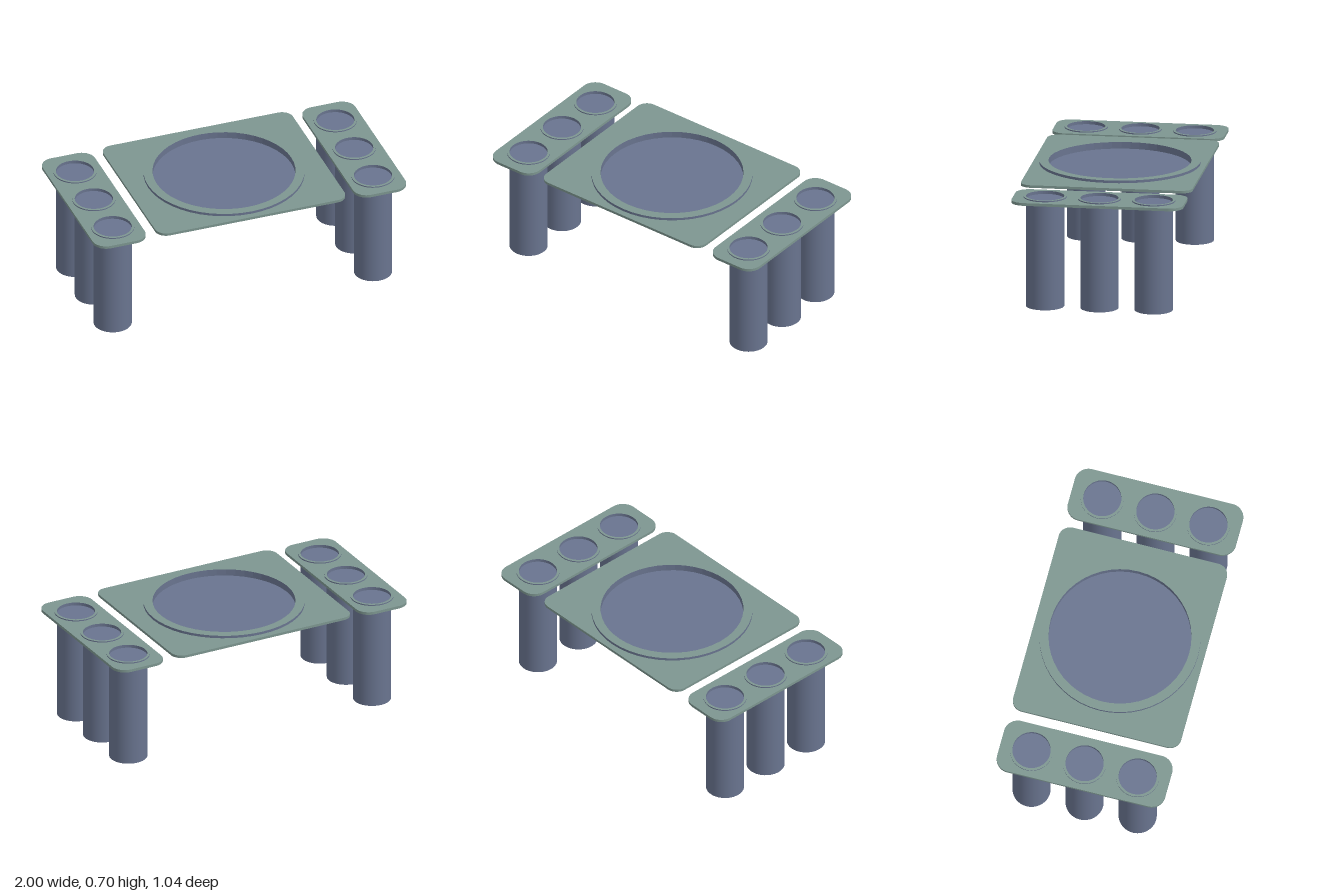
import * as THREE from 'three';

const green = new THREE.MeshStandardMaterial({ color: 0x7d9690, name: 'sage green' });
const blue = new THREE.MeshStandardMaterial({ color: 0x69748f, name: 'slate blue', side: THREE.DoubleSide });

// Horizontal slab: a shape in the x/-z plane raised from y0 to y1.
function slab(shape, y0, y1) {
  const geometry = new THREE.ExtrudeGeometry(shape, { depth: y1 - y0, bevelEnabled: false, curveSegments: 24 });
  return geometry.rotateX(-Math.PI / 2).translate(0, y0, 0);
}

function circle(kind, x, y, radius) {
  const path = new kind();
  path.absarc(x, y, radius, 0, Math.PI * 2, false);
  return path;
}

function roundedRect(halfW, halfH, r) {
  const s = new THREE.Shape();
  s.absarc(halfW - r, halfH - r, r, 0, Math.PI / 2);
  s.absarc(-halfW + r, halfH - r, r, Math.PI / 2, Math.PI);
  s.absarc(-halfW + r, -halfH + r, r, Math.PI, Math.PI * 1.5);
  s.absarc(halfW - r, -halfH + r, r, Math.PI * 1.5, Math.PI * 2);
  s.closePath();
  return s;
}

function add(parent, name, geometry, material) {
  const mesh = new THREE.Mesh(geometry, material);
  mesh.name = name;
  parent.add(mesh);
  return mesh;
}

// Plate with round openings along z.
function addPlate(parent, name, halfW, corner, y0, y1, holeRadius, holeZs) {
  const shape = roundedRect(halfW, 0.522, corner);
  for (const z of holeZs) shape.holes.push(circle(THREE.Path, 0, -z, holeRadius));
  add(parent, name, slab(shape, y0, y1), green);
}

// Raised rim with green faces and blue edges, a recessed disc and an open tube below it.
function cup(name, outer, inner, rimBottom, rimTop, discY, tubeBottom) {
  const group = new THREE.Group();
  group.name = name;
  const ring = circle(THREE.Shape, 0, 0, outer);
  ring.holes.push(circle(THREE.Path, 0, 0, inner));
  add(group, 'rim', slab(ring, rimBottom, rimTop), [green, blue]);
  add(group, 'disc', new THREE.CircleGeometry(inner, 48).rotateX(-Math.PI / 2).translate(0, discY, 0), blue);
  const height = rimBottom - tubeBottom;
  add(group, 'tube', new THREE.CylinderGeometry(inner, inner, height, 48, 1, true)
    .translate(0, tubeBottom + height / 2, 0), blue);
  return group;
}

export function createModel() {
  const model = new THREE.Group();
  model.name = 'trayTable';

  // Central tray
  const tray = new THREE.Group();
  tray.name = 'centreTray';
  addPlate(tray, 'trayPlate', 0.606, 0.07, 0.668, 0.684, 0.485, [0]);
  tray.add(cup('trayDish', 0.485, 0.43, 0.67, 0.7, 0.659, 0.657));
  model.add(tray);

  // Side racks, each with three tubes
  for (const side of [-1, 1]) {
    const rack = new THREE.Group();
    rack.name = side > 0 ? 'leftRack' : 'rightRack';
    rack.position.x = side * 0.833;
    const zs = [-0.33, 0, 0.33];
    addPlate(rack, 'rackPlate', 0.167, 0.085, 0.659, 0.676, 0.13, zs);
    for (const z of zs) {
      const holder = cup('tubeHolder', 0.13, 0.115, 0.661, 0.683, 0.664, 0);
      holder.position.z = z;
      rack.add(holder);
    }
    model.add(rack);
  }
  return model;
}
